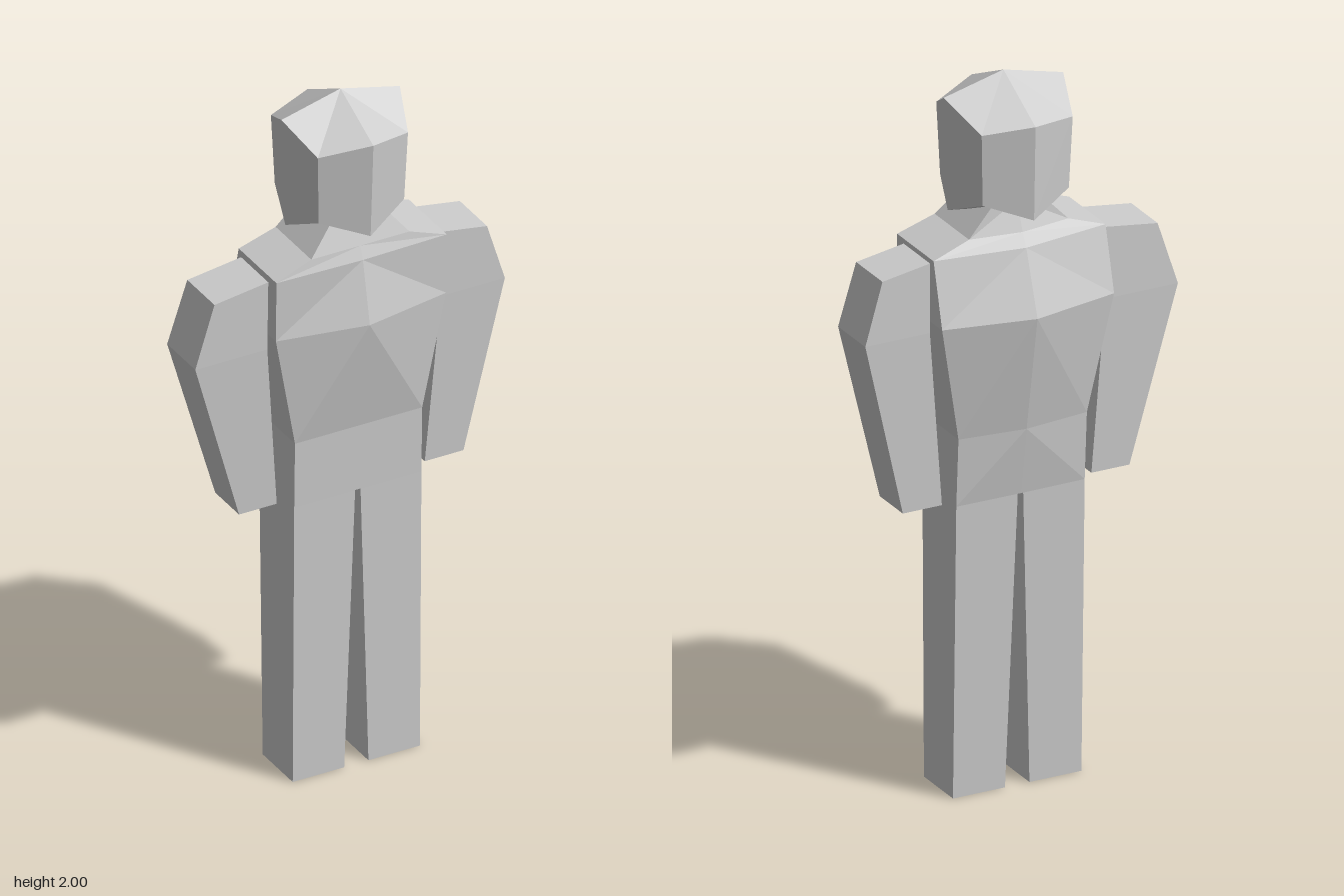
import * as THREE from 'three';

// Joins rings of points (bottom to top, counterclockwise from above) into a closed, faceted body.
// flip(i) chooses the diagonal on side i; an optional pole point can replace a flat cap's centre.
function loft(rings, { flip = () => false, bottomPole, topPole } = {}) {
  const out = [];
  const tri = (...pts) => pts.forEach((p) => out.push(...p));
  const centre = (ring) => [0, 1, 2].map((k) => ring.reduce((s, p) => s + p[k], 0) / ring.length);
  const n = rings[0].length;
  for (let r = 0; r < rings.length - 1; r++) {
    for (let i = 0; i < n; i++) {
      const j = (i + 1) % n;
      const a = rings[r][i], b = rings[r][j], c = rings[r + 1][j], d = rings[r + 1][i];
      if (flip(i)) { tri(a, b, d); tri(b, c, d); } else { tri(a, b, c); tri(a, c, d); }
    }
  }
  const low = rings[0], high = rings[rings.length - 1];
  const lowC = bottomPole || centre(low), highC = topPole || centre(high);
  for (let i = 0; i < n; i++) {
    const j = (i + 1) % n;
    tri(lowC, low[j], low[i]);
    tri(highC, high[i], high[j]);
  }
  const g = new THREE.BufferGeometry();
  g.setAttribute('position', new THREE.Float32BufferAttribute(out, 3));
  g.computeVertexNormals();
  return g;
}

// Four-sided section between two x values
const box = (x0, x1, y0, y1, front, back) => [[x0, y0, front], [x1, y1, front], [x1, y1, back], [x0, y0, back]];

export function createModel() {
  const grey = new THREE.MeshStandardMaterial({ color: 0xcccccc });
  grey.name = 'light grey';
  grey.flatShading = true;
  const model = new THREE.Group();
  model.name = 'figure';
  const add = (name, geometry) => {
    const mesh = new THREE.Mesh(geometry, grey);
    mesh.name = name;
    model.add(mesh);
  };
  const cx = 0.011; // body midline

  // Torso: six-point sections with a ridge down the middle of chest and back
  const section = (w, y, frontSide, frontMid, backSide, backMid) => [
    [cx - w, y, frontSide], [cx, y, frontMid], [cx + w, y, frontSide],
    [cx + w, y, backSide], [cx, y, backMid], [cx - w, y, backSide],
  ];
  add('torso', loft([
    section(0.189, 0.835, 0.098, 0.098, -0.088, -0.09),
    section(0.189, 1.03, 0.102, 0.102, -0.1, -0.122),
    section(0.253, 1.365, 0.115, 0.162, -0.13, -0.182),
    section(0.253, 1.543, 0.118, 0.125, -0.083, -0.12),
    section(0.146, 1.58, 0.112, 0.112, -0.078, -0.1),
    section(0.07, 1.66, 0.085, 0.085, -0.07, -0.07),
  ], { flip: (i) => i % 3 === 1 }));

  // Legs
  for (const [name, s] of [['leftLeg', 1], ['rightLeg', -1]]) {
    const leg = (inner, y, front, back) => {
      const [x0, x1] = [cx + s * inner, cx + s * 0.189].sort((a, b) => a - b);
      return box(x0, x1, y, y, front, back);
    };
    add(name, loft([leg(0.036, 0, 0.09, -0.07), leg(0.008, 0.835, 0.098, -0.088)]));
  }

  // Arms: wrist, elbow bulge and sloped shoulder top; the two differ slightly
  add('leftArm', loft([
    box(0.23, 0.345, 0.837, 0.837, 0.062, -0.065),
    box(0.268, 0.458, 1.335, 1.335, 0.08, -0.07),
    box(0.265, 0.405, 1.53, 1.507, 0.08, -0.065),
  ]));
  add('rightArm', loft([
    box(-0.322, -0.21, 0.837, 0.837, 0.062, -0.065),
    box(-0.462, -0.248, 1.325, 1.325, 0.08, -0.07),
    box(-0.405, -0.245, 1.505, 1.527, 0.08, -0.065),
  ]));

  // Head: eight-sided rounded block, corners drawn in from its top and bottom poles
  const headRing = (side, front, back, cornerX, cornerZ, ySide, yFront, yBack, yCorner) => [
    [cx - side, ySide, 0.006], [cx - cornerX, yCorner, cornerZ],
    [cx, yFront, front], [cx + cornerX, yCorner, cornerZ],
    [cx + side, ySide, 0.006], [cx + cornerX, yCorner, -cornerZ],
    [cx, yBack, back], [cx - cornerX, yCorner, -cornerZ],
  ];
  add('head', loft([
    headRing(0.164, 0.166, -0.163, 0.127, 0.117, 1.635, 1.637, 1.637, 1.687),
    headRing(0.176, 0.181, -0.171, 0.134, 0.125, 1.956, 1.918, 1.905, 1.89),
  ], { bottomPole: [cx, 1.612, 0.006], topPole: [cx, 2, 0.006] }));

  return model;
}
